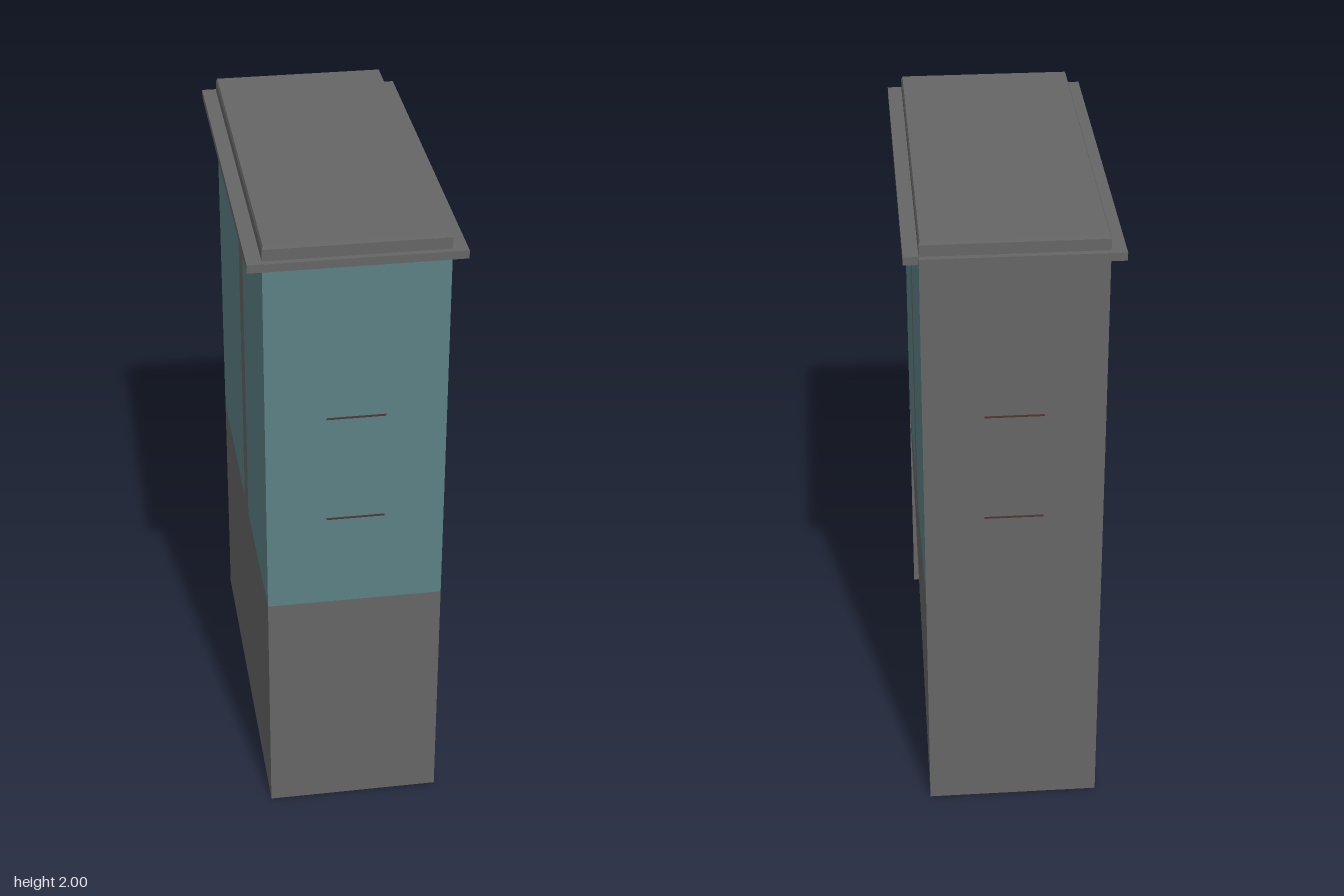
import * as THREE from 'three';

const X = 0.268, Z = 0.605, SILL = 0.775, EAVES = 1.93;

export function createModel() {
  const model = new THREE.Group();
  const grey = new THREE.MeshStandardMaterial({ color: 0x666666, side: THREE.DoubleSide });
  const teal = new THREE.MeshStandardMaterial({ color: 0x5c8084, side: THREE.DoubleSide });
  const brown = new THREE.MeshStandardMaterial({ color: 0x503634 });

  const add = (name, geometry, material = grey) => {
    const mesh = new THREE.Mesh(geometry, material);
    mesh.name = name;
    model.add(mesh);
    return mesh;
  };

  // Thin sheet: a fan over its corners, counter-clockwise seen from outside
  const sheet = (name, corners, material) => {
    const points = [];
    for (let i = 1; i < corners.length - 1; i++) {
      points.push(...corners[0], ...corners[i], ...corners[i + 1]);
    }
    const geometry = new THREE.BufferGeometry();
    geometry.setAttribute('position', new THREE.Float32BufferAttribute(points, 3));
    geometry.computeVertexNormals();
    return add(name, geometry, material);
  };

  // Box given by its extents
  const block = (name, x0, x1, y0, y1, z0, z1, material) => {
    const mesh = add(name, new THREE.BoxGeometry(x1 - x0, y1 - y0, z1 - z0), material);
    mesh.position.set((x0 + x1) / 2, (y0 + y1) / 2, (z0 + z1) / 2);
    return mesh;
  };

  // Front: solid base with a coloured panel above; back: one plain sheet
  sheet('frontBase', [[-X, 0, Z], [X, 0, Z], [X, SILL, Z], [-X, SILL, Z]]);
  sheet('frontPanel', [[-X, SILL, Z], [X, SILL, Z], [X, EAVES, Z], [-X, EAVES, Z]], teal);
  sheet('backWall', [[X, 0, -Z], [-X, 0, -Z], [-X, EAVES, -Z], [X, EAVES, -Z]]);

  // Sides: two coloured panels either side of a mullion
  const bays = [['frontSidePanel', 0.09, Z, teal], ['mullion', -0.01, 0.09, grey], ['backSidePanel', -Z, -0.01, teal]];
  for (const s of [1, -1]) {
    for (const [name, z0, z1, material] of bays) {
      const [a, b] = s > 0 ? [z1, z0] : [z0, z1];
      sheet(name, [[s * X, SILL, a], [s * X, SILL, b], [s * X, EAVES, b], [s * X, EAVES, a]], material);
    }
  }

  // Side bases: the left one is cut away along a diagonal
  sheet('rightBase', [[-X, 0, -Z], [-X, 0, Z], [-X, SILL, Z], [-X, SILL, -Z]]);
  sheet('leftBase', [[X, SILL, Z], [X, 0, -Z], [X, SILL, -Z]]);

  // Folded floor rising to the front left corner
  sheet('floor', [[X, SILL, Z], [-X, 0, Z], [-X, 0, -Z], [X, 0, -Z]]);

  // Slots on the front and back
  for (const s of [1, -1]) {
    for (const y of [1.08, 1.43]) {
      block('slot', -0.088, 0.088, y - 0.003, y + 0.003, s * Z - 0.0015, s * Z + 0.0015, brown);
    }
  }

  // Ledge strips, with an open notch at the back left corner
  block('rightLedge', -0.312, -X, EAVES, 1.955, -0.623, 0.623);
  block('leftLedge', X, 0.312, EAVES, 1.955, -Z, 0.623);
  block('frontLedge', -X, X, EAVES, 1.955, Z, 0.623);
  block('backLedge', -X, X, EAVES, 1.955, -0.623, -Z);

  // Roof slab with a small chamfer round the top
  const slab = new THREE.BoxGeometry(2 * X, 2, 2 * Z, 1, 2, 1).toNonIndexed();
  const p = slab.attributes.position;
  for (let i = 0; i < p.count; i++) {
    const level = Math.round(p.getY(i)) + 1;
    const inset = level === 2 ? 0.004 : 0;
    p.setXYZ(i, Math.sign(p.getX(i)) * (X - inset), [EAVES, 1.99, 2][level], Math.sign(p.getZ(i)) * (Z - inset));
  }
  slab.computeVertexNormals();
  add('roof', slab);

  return model;
}
